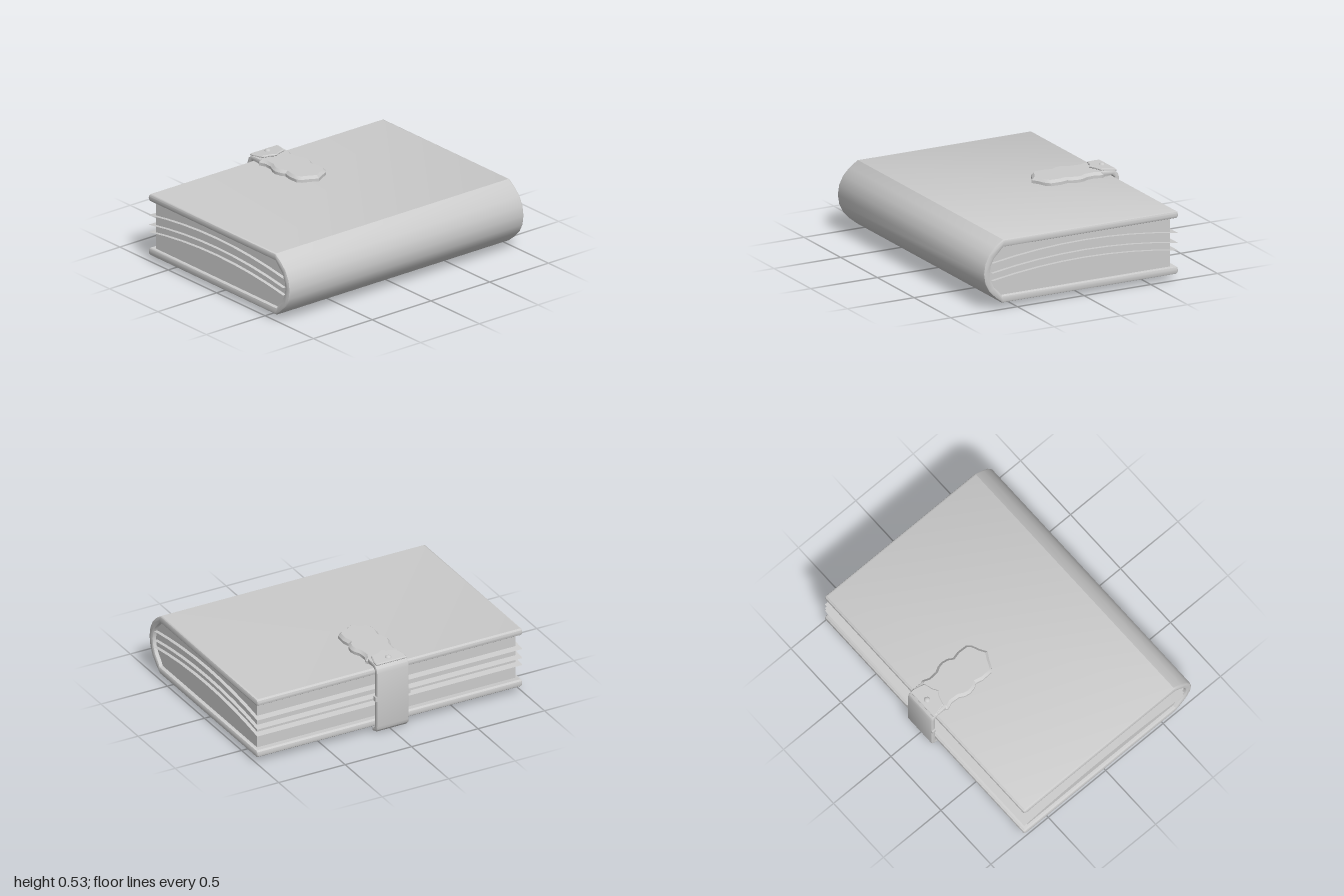
import * as THREE from 'three';
import { toCreasedNormals } from 'three/addons/utils/BufferGeometryUtils.js';

const material = new THREE.MeshStandardMaterial({ color: 0xcccccc });
const sheetMaterial = new THREE.MeshStandardMaterial({ color: 0xcccccc, side: THREE.DoubleSide });

const toShape = (pts) => new THREE.Shape(pts.map(([a, b]) => new THREE.Vector2(a, b)));

// Spine curve in (z, y) from the upper board to the lower one, bulging towards +z
function spineCurve(radius) {
  const cz = 0.535, cy = 0.258;
  const arc = Array.from({ length: 7 }, (_, i) => {
    const a = THREE.MathUtils.degToRad(54 - 18 * i);
    return [cz + radius * Math.cos(a), cy + radius * Math.sin(a)];
  });
  return [[0.602, cy + radius], ...arc, [0.61, cy - radius]];
}

function extrude(shape, length, bevel, bevelSegments) {
  return new THREE.ExtrudeGeometry(shape, {
    depth: length - 2 * bevel, bevelEnabled: bevel > 0, bevelSize: bevel,
    bevelThickness: bevel, bevelOffset: -bevel, bevelSegments,
  });
}

// Extrudes a (z, y) profile across the width of the book
function acrossX(points, width, bevel) {
  const g = extrude(toShape(points), width, bevel, 2);
  g.translate(0, 0, bevel - width / 2).rotateY(-Math.PI / 2);
  return toCreasedNormals(g, 0.6);
}

// Extrudes an (x, z) outline upwards from height y
function upwards(points, y, height, bevel) {
  const g = extrude(toShape(points.map(([x, z]) => [x, -z])), height, bevel, 1);
  g.translate(0, 0, bevel).rotateX(-Math.PI / 2).translate(0, y, 0);
  return toCreasedNormals(g, 0.5);
}

// Completes a right-hand outline that starts on x = 0
function mirrorOutline(half) {
  const other = half.filter(([x]) => x > 0).map(([x, z]) => [-x, z]).reverse();
  return [...half, ...other];
}

export function createModel() {
  const group = new THREE.Group();
  const add = (name, geometry, mat = material) => {
    const mesh = new THREE.Mesh(geometry, mat);
    mesh.name = name;
    group.add(mesh);
    return mesh;
  };

  // Cover: two boards joined by a rounded spine
  const cover = [
    [-0.695, 0.475],
    ...spineCurve(0.217),
    [-0.695, 0.041], [-0.707, 0.05], [-0.711, 0.067], [-0.707, 0.084], [-0.695, 0.093],
    ...spineCurve(0.167).reverse(),
    [-0.695, 0.425], [-0.707, 0.433], [-0.711, 0.45], [-0.707, 0.466],
  ];
  add('cover', acrossX(cover, 2, 0.014));

  // Page block tucked between the boards
  const pages = [[-0.66, 0.427], ...spineCurve(0.169), [-0.66, 0.089]];
  add('pageBlock', acrossX(pages, 1.945, 0));

  // Thin arched sheets that stick out of the block
  [[0.323, 0.38], [0.255, 0.312], [0.203, 0.26]].forEach(([edge, middle], i) => {
    const sheet = new THREE.PlaneGeometry(1.995, 1.39, 1, 8).rotateX(-Math.PI / 2);
    const p = sheet.attributes.position;
    for (let k = 0; k < p.count; k++) {
      const t = p.getZ(k) / 0.695;
      p.setY(k, middle + (edge - middle) * t * t);
      p.setZ(k, p.getZ(k) - 0.012);
    }
    sheet.computeVertexNormals();
    add('sheet' + (i + 1), sheet, sheetMaterial);
  });

  // Clasp strap wrapping the open edge, hooked under the lower board
  const strap = [
    [-0.62, 0.512], [-0.695, 0.512], [-0.72, 0.506], [-0.743, 0.485], [-0.752, 0.455],
    [-0.752, 0.06], [-0.746, 0.033], [-0.73, 0.014], [-0.68, 0],
    [-0.68, 0.028], [-0.703, 0.036], [-0.714, 0.048], [-0.718, 0.065],
    [-0.718, 0.45], [-0.712, 0.468], [-0.695, 0.48], [-0.62, 0.48],
  ];
  add('claspStrap', acrossX(strap, 0.242, 0.01));

  // Small hinge joint halfway down the strap
  const joint = add('claspJoint', new THREE.BoxGeometry(0.262, 0.035, 0.03));
  joint.position.set(0, 0.265, -0.735);

  // Scalloped plate on the upper board, with a chamfered upper rim
  const plate = mirrorOutline([
    [0, -0.157], [0.045, -0.184], [0.1, -0.208], [0.125, -0.235], [0.128, -0.31],
    [0.116, -0.36], [0.135, -0.39], [0.144, -0.435], [0.136, -0.475], [0.117, -0.51],
    [0.113, -0.57], [0.131, -0.615], [0.113, -0.645], [0.11, -0.69],
  ]);
  add('claspPlate', upwards(plate, 0.455, 0.058, 0.018));

  // Pointed tab over the plate, tilted up slightly at its tip
  const tab = mirrorOutline([
    [0, -0.585], [0.03, -0.605], [0.095, -0.625], [0.115, -0.7], [0.115, -0.73],
  ]);
  const tabGeometry = upwards(tab, 0.504, 0.016, 0.005);
  tabGeometry.translate(0, -0.504, 0.71).rotateX(-0.08).translate(0, 0.504, -0.71);
  add('claspTab', tabGeometry);

  // Rivet
  const rivet = add('rivet', new THREE.SphereGeometry(0.022, 16, 8, 0, Math.PI * 2, 0, Math.PI / 2));
  rivet.scale.y = 0.8;
  rivet.position.set(0, 0.517, -0.685);

  return group;
}
